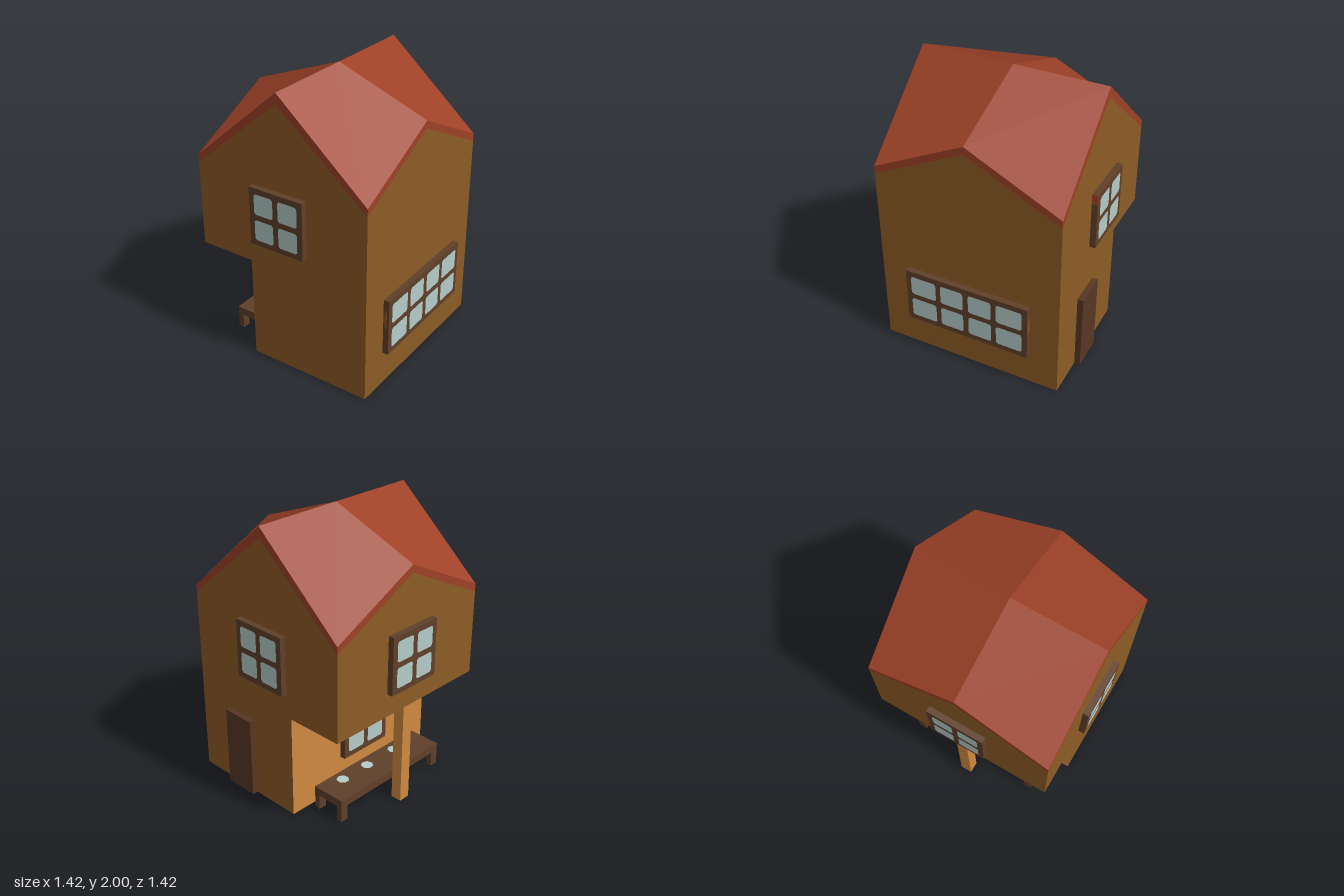
import * as THREE from 'three';

const mat = (name, hex) => new THREE.MeshStandardMaterial({ name, color: hex });

export function createModel() {
  const house = new THREE.Group();
  house.name = 'house';
  const wall = mat('brown wall', 0x8c5c25);
  const timber = mat('light timber', 0xd08a40);
  const roofRed = mat('roof red', 0x9e4127);
  const frameBrown = mat('frame brown', 0x60402a);
  const doorBrown = mat('door brown', 0x573624);
  const glass = mat('pale glass', 0xb4ccc9);

  const S = 0.665, STEP = -0.25, OVER = 0.75, EAVE = 1.42, RIDGE = 2, SIDE_RIDGE = 1.75;

  const add = (parent, name, geo, material, x = 0, y = 0, z = 0) => {
    const m = new THREE.Mesh(geo, material);
    m.name = name;
    m.position.set(x, y, z);
    parent.add(m);
    return m;
  };
  // box given by its min and max corners
  const box = (parent, name, material, a, b) => add(parent, name,
    new THREE.BoxGeometry(b[0] - a[0], b[1] - a[1], b[2] - a[2]), material,
    (a[0] + b[0]) / 2, (a[1] + b[1]) / 2, (a[2] + b[2]) / 2);
  const poly = (pts) => new THREE.ShapeGeometry(new THREE.Shape(pts.map(p => new THREE.Vector2(...p))));

  // one side of the house: wall plus the red band under the gable
  const gableSide = (name, angle, base, peak, bandPeak) => {
    const g = new THREE.Group();
    g.name = name;
    const d = 1.365;
    add(g, 'wall', poly([...base, [S, d], [0, bandPeak], [-S, d]]), wall, 0, 0, S);
    add(g, 'gableBand', poly([[-S, d], [0, bandPeak], [S, d], [S, EAVE], [0, peak], [-S, EAVE]]), roofRed, 0, 0, S);
    g.rotation.y = angle;
    house.add(g);
  };
  const stepped = [[-S, OVER], [STEP, OVER], [STEP, 0], [S, 0]];
  const mirrored = stepped.map(([x, y]) => [-x, y]).reverse();
  gableSide('frontSide', 0, stepped, RIDGE, 1.925);
  gableSide('backSide', Math.PI, mirrored, RIDGE, 1.925);
  gableSide('leftSide', Math.PI / 2, [[-S, 0], [S, 0]], SIDE_RIDGE, 1.695);
  gableSide('rightSide', -Math.PI / 2, [[-S, OVER], [S, OVER]], SIDE_RIDGE, 1.695);

  // recessed porch wall, overhang underside and floor
  const recess = add(house, 'porchWall', new THREE.PlaneGeometry(2 * S, OVER), timber, STEP, OVER / 2, 0);
  recess.rotation.y = -Math.PI / 2;
  const under = add(house, 'overhangUnderside', new THREE.PlaneGeometry(S + STEP, 2 * S), doorBrown, (STEP - S) / 2, OVER, 0);
  under.rotation.x = Math.PI / 2;
  const floor = add(house, 'floor', poly([[STEP, -S], [S, -S], [S, S], [STEP, S], [0, 0]]), wall);
  floor.rotation.x = Math.PI / 2;
  const wedge = add(house, 'floorWedge', poly([[STEP, -S], [0, 0], [STEP, S]]), timber);
  wedge.rotation.x = Math.PI / 2;

  // roof: four quarters of a crossed gable, one shading normal per quarter
  const height = (x, z) => (x === 0 ? RIDGE : z === 0 ? SIDE_RIDGE : EAVE);
  for (const x0 of [-S, 0]) for (const z0 of [-S, 0]) {
    const c = [[x0, z0], [x0, z0 + S], [x0 + S, z0 + S], [x0 + S, z0]]
      .map(([x, z]) => new THREE.Vector3(x, height(x, z), z));
    const n = c[2].clone().sub(c[0]).cross(c[3].clone().sub(c[1])).normalize();
    const geo = new THREE.BufferGeometry().setFromPoints(c);
    geo.setIndex([0, 1, 2, 0, 2, 3]);
    geo.setAttribute('normal', new THREE.Float32BufferAttribute(c.flatMap(() => n.toArray()), 3));
    add(house, 'roofQuarter', geo, roofRed);
  }

  // window: thick frame board with thin panes, columns listed as [left, right]
  const T = 0.042;
  const makeWindow = (name, half, columns, pos, angle) => {
    const g = new THREE.Group();
    g.name = name;
    box(g, 'frame', frameBrown, [-half, -0.208, 0], [half, 0.208, T]);
    for (const [l, r] of columns) for (const [b, t] of [[-0.168, -0.02], [0.02, 0.168]]) {
      const k = 0.013;
      add(g, 'pane', poly([[l + k, b], [r - k, b], [r, b + k], [r, t - k],
        [r - k, t], [l + k, t], [l, t - k], [l, b + k]]), glass, 0, 0, T + 0.002);
    }
    g.position.set(...pos);
    g.rotation.y = angle;
    house.add(g);
    return g;
  };
  const two = [[-0.17, -0.02], [0.02, 0.17]];
  const four = [[-0.42, -0.228], [-0.192, -0.02], [0.02, 0.192], [0.228, 0.42]];
  makeWindow('frontWindow', 0.21, two, [0, 1.125, S], 0);
  const back = makeWindow('backWindow', 0.21, two, [0, 1.125, -S], Math.PI);
  makeWindow('rightWindow', 0.21, two, [-S, 1.125, 0], -Math.PI / 2);
  makeWindow('porchWindow', 0.21, two, [STEP, 0.458, 0], -Math.PI / 2);
  const wide = makeWindow('wideWindow', 0.458, four, [S, 0.458, 0], Math.PI / 2);
  // small painted marks on the frame edges
  box(back, 'edgeMark', roofRed, [-0.212, 0.135, 0.001], [-0.21, 0.207, T]);
  for (const s of [-1, 1]) {
    const m = box(wide, 'edgeMark', wall, [-0.001, 0, 0.01], [0.001, 0.12, 0.026]);
    m.position.x = s * 0.458;
  }

  // door, porch post
  box(house, 'door', doorBrown, [0.12, 0, -S - T], [0.37, 0.585, -S]);
  box(house, 'porchPost', timber, [-S, 0, -0.042], [-0.585, OVER, 0.042]);

  // bench with four legs and pale patches on the seat
  const bench = new THREE.Group();
  bench.name = 'bench';
  house.add(bench);
  box(bench, 'benchSeat', frameBrown, [-0.542, 0.11, -0.5], [-0.292, 0.168, 0.5]);
  for (const x of [-0.542, -0.334]) for (const z of [-0.5, 0.44])
    box(bench, 'benchLeg', frameBrown, [x, 0, z], [x + 0.042, 0.11, z + 0.06]);
  for (const z of [-0.31, -0.065, 0.215]) {
    const p = add(bench, 'seatPatch', new THREE.CircleGeometry(0.045, 7), glass, -0.37, 0.17, z);
    p.rotation.x = -Math.PI / 2;
  }
  return house;
}
